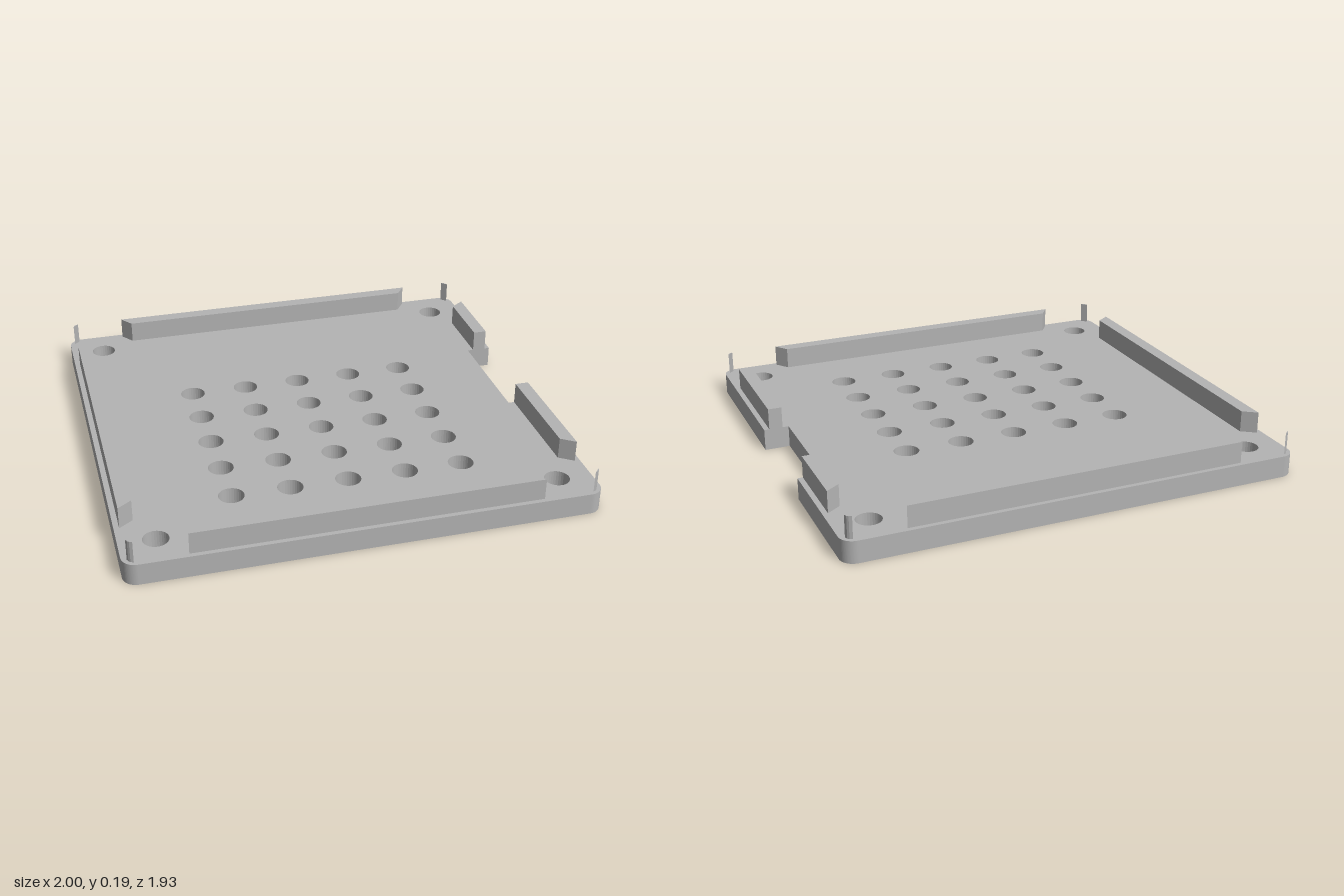
import * as THREE from 'three';

const BASE_H = 0.095, TOP = 0.19;
const HX = 1, HZ = 0.965, R = 0.06;
const NOTCH = { x: 0.89, z0: -0.36, z1: 0.172 };

export function createModel() {
  const group = new THREE.Group();
  group.name = 'ventedCover';
  const grey = new THREE.MeshStandardMaterial({ color: 0xb4b4b4 });
  grey.name = 'grey plastic';

  // Extrude a plan outline (shape y = -z) upward from y0 to y1
  function extrude(name, shape, y0, y1) {
    const geo = new THREE.ExtrudeGeometry(shape, { depth: y1 - y0, bevelEnabled: false, curveSegments: 16 });
    geo.rotateX(-Math.PI / 2).translate(0, y0, 0);
    const mesh = new THREE.Mesh(geo, grey);
    mesh.name = name;
    group.add(mesh);
  }
  const outline = (pts) => new THREE.Shape(pts.map(([x, z]) => new THREE.Vector2(x, -z)));

  // Rounded plate with a notch in its +x edge
  const plate = new THREE.Shape();
  plate.moveTo(-HX + R, -HZ);
  plate.lineTo(HX - R, -HZ);
  plate.absarc(HX - R, -HZ + R, R, -Math.PI / 2, 0, false);
  plate.lineTo(HX, -NOTCH.z1);
  plate.lineTo(NOTCH.x, -NOTCH.z1);
  plate.lineTo(NOTCH.x, -NOTCH.z0);
  plate.lineTo(HX, -NOTCH.z0);
  plate.absarc(HX - R, HZ - R, R, 0, Math.PI / 2, false);
  plate.absarc(-HX + R, HZ - R, R, Math.PI / 2, Math.PI, false);
  plate.absarc(-HX + R, -HZ + R, R, Math.PI, Math.PI * 1.5, false);

  const addHole = (x, z, r) => {
    const hole = new THREE.Path();
    hole.absarc(x, -z, r, 0, Math.PI * 2, true);
    plate.holes.push(hole);
  };
  // Vent grid
  for (let i = -2; i <= 2; i++)
    for (let j = -2; j <= 2; j++) addHole(i * 0.25, 0.157 + j * 0.219, 0.055);
  // Corner screw holes
  for (const sx of [-1, 1])
    for (const sz of [-1, 1]) addHole(sx * 0.848, sz * 0.815, 0.054);
  extrude('basePlate', plate, 0, BASE_H);

  // Front and back ribs, mitred at the ends
  for (const [name, s] of [['frontRib', 1], ['backRib', -1]])
    extrude(name, outline([
      [-0.738, s * 0.945], [0.738, s * 0.945], [0.695, s * 0.886], [-0.695, s * 0.886],
    ]), BASE_H, TOP);

  // Side ribs; the +x one is split by the notch
  extrude('rightRib', outline([
    [-0.977, -0.708], [-0.977, 0.708], [-0.917, 0.666], [-0.917, -0.666],
  ]), BASE_H, TOP);
  extrude('leftRibBack', outline([
    [0.977, -0.708], [0.977, NOTCH.z0], [0.917, NOTCH.z0], [0.917, -0.666],
  ]), BASE_H, TOP);
  extrude('leftRibFront', outline([
    [0.977, 0.708], [0.977, NOTCH.z1], [0.917, NOTCH.z1], [0.917, 0.666],
  ]), BASE_H, TOP);

  // Thin slivers standing in the four corners
  for (const sx of [-1, 1])
    for (const sz of [-1, 1])
      extrude('cornerSliver', outline([
        [0.977, 0.922], [0.972, 0.934], [0.965, 0.941], [0.953, 0.946],
      ].map(([x, z]) => [sx * x, sz * z])), BASE_H, TOP);

  return group;
}
